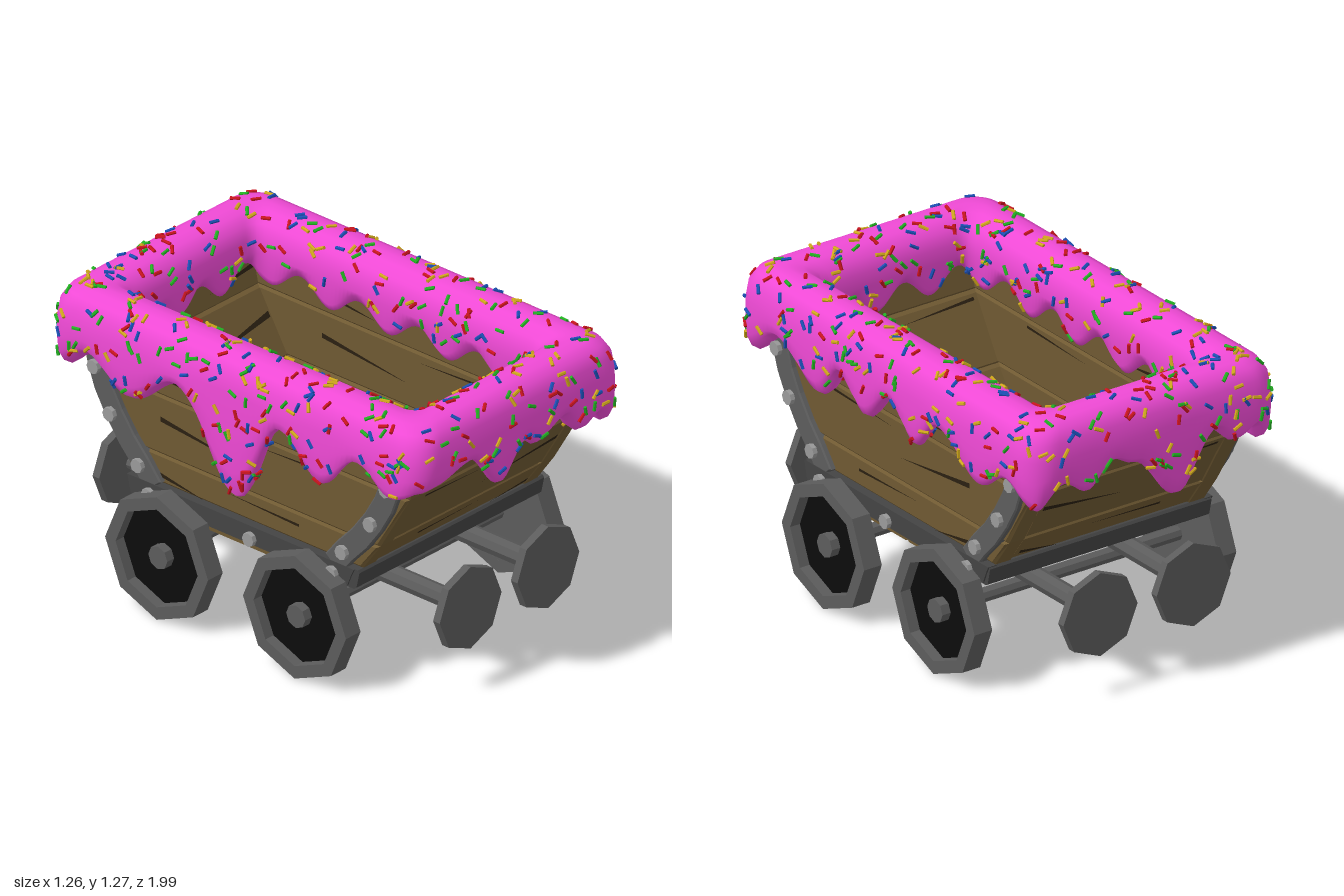
import * as THREE from 'three';
import { mergeGeometries } from 'three/addons/utils/BufferGeometryUtils.js';

const mat = (color, flatShading = true, side = THREE.FrontSide) =>
  new THREE.MeshStandardMaterial({ color, flatShading, side, roughness: 0.9 });
const M = {
  wood: mat(0x6f5932), crack: mat(0x2a2012, true, THREE.DoubleSide), iron: mat(0x5c5c5c),
  dark: mat(0x444444), black: mat(0x0c0c0c), bolt: mat(0x9a9a9a),
  icing: mat(0xf04ad6, false, THREE.DoubleSide),
};
const SPRINKLES = { red: 0xc8141e, blue: 0x1a4fb4, green: 0x22b022, yellow: 0xd0a81c };

let seed = 7;
const rand = () => (seed = (seed * 16807) % 2147483647) / 2147483647;

function add(parent, name, geometry, material) {
  const mesh = new THREE.Mesh(geometry, material);
  mesh.name = name;
  parent.add(mesh);
  return mesh;
}

// Side outline given as [z, y] points, extruded along x from x0 to x1
function extrudeX(points, x0, x1, bevel = 0, hole) {
  const shape = new THREE.Shape(points.map(p => new THREE.Vector2(...p)));
  if (hole) shape.holes.push(new THREE.Path(hole.map(p => new THREE.Vector2(...p))));
  return new THREE.ExtrudeGeometry(shape, {
    depth: x1 - x0 - 2 * bevel, bevelEnabled: bevel > 0, bevelSize: bevel,
    bevelThickness: bevel, bevelOffset: -bevel, bevelSegments: 1,
  }).rotateY(-Math.PI / 2).translate(x1 - bevel, 0, 0);
}

// Cut the corners of an outline
function chamfer(points, c) {
  return points.flatMap((p, i) => {
    const n = points.length;
    return [points[(i + n - 1) % n], points[(i + 1) % n]].map(q => {
      const l = Math.hypot(q[0] - p[0], q[1] - p[1]);
      return [p[0] + (q[0] - p[0]) * c / l, p[1] + (q[1] - p[1]) * c / l];
    });
  });
}

const octagon = (r, z, y) => Array.from({ length: 8 }, (_, i) =>
  [z + r * Math.sin(-i * Math.PI / 4), y + r * Math.cos(i * Math.PI / 4)]);

// Box half length at each plank seam
const SEAMS = [[0.43, 0.48], [0.525, 0.6], [0.65, 0.69], [0.91, 0.845], [1.1, 0.89]];
function halfLength(y) {
  const i = Math.max(1, SEAMS.findIndex(s => s[0] >= y));
  const [y0, w0] = SEAMS[i - 1], [y1, w1] = SEAMS[i];
  return w0 + (w1 - w0) * (y - y0) / (y1 - y0);
}

function buildBox() {
  const box = new THREE.Group();
  box.name = 'woodenBox';
  for (let i = 0; i < SEAMS.length - 1; i++) {
    const [y0, w0] = SEAMS[i], [y1, w1] = SEAMS[i + 1];
    for (const s of [-1, 1]) {
      const x = s * 0.467;
      add(box, 'sidePlank', extrudeX([[-w0, y0], [w0, y0], [w1, y1], [-w1, y1]], x - 0.048, x + 0.048, 0.012), M.wood);
      const end = [[w0 - 0.06, y0], [w0 - 0.004, y0], [w1 - 0.004, y1], [w1 - 0.06, y1]].map(([z, y]) => [s * z, y]);
      add(box, 'endPlank', extrudeX(chamfer(end, 0.011), -0.425, 0.425), M.wood);
    }
  }
  for (const [z0, z1] of [[-0.48, -0.41], [-0.41, -0.02], [-0.02, 0.375], [0.375, 0.48]])
    add(box, 'floorPlank', extrudeX(chamfer([[z0, 0.4], [z1, 0.4], [z1, 0.45], [z0, 0.45]], 0.01), -0.5, 0.5), M.wood);

  // Splits in the grain: [tip, tip height, open end, end height, thickness]
  const cracks = [[0, 0.757, 0.41, 0.81, 0.022], [0.2, 0.532, 0.41, 0.565, 0.018], [0.15, 0.97, 0.41, 1.0, 0.02],
    [-0.05, 0.87, -0.4, 0.885, 0.012], [0.1, 0.61, -0.25, 0.6, 0.012]];
  const tri = [];
  for (const [a, ya, b, yb, t] of cracks) for (const s of [-1, 1]) {
    const corners = [[a, ya], [b, yb + t / 2], [b, yb - t / 2]];
    for (const off of [0.002, -0.064])
      for (const [u, y] of corners) tri.push(u, y, s * (halfLength(y) + off));
    for (const x of [0.518, 0.416])
      for (const [u, y] of corners) tri.push(s * x, y, -u * 1.1);
  }
  const g = new THREE.BufferGeometry();
  g.setAttribute('position', new THREE.Float32BufferAttribute(tri, 3));
  g.computeVertexNormals();
  add(box, 'grainCracks', g, M.crack);
  return box;
}

function buildIronwork() {
  const iron = new THREE.Group();
  iron.name = 'ironwork';
  // Frame round the foot of the box
  for (const s of [-1, 1]) {
    add(iron, 'frameSide', extrudeX([[-0.57, 0.445], [0.55, 0.445], [0.57, 0.495], [0.585, 0.525], [-0.605, 0.525], [-0.59, 0.495]],
      s * 0.52 - 0.022, s * 0.52 + 0.022), M.dark);
    add(iron, 'frameEnd', extrudeX(chamfer([[s * 0.53, 0.437], [s * 0.59, 0.437], [s * 0.61, 0.525], [s * 0.53, 0.525]], 0.01),
      -0.535, 0.535), M.dark);
  }
  // Curved corner straps
  const path = [[0.47, 0.51], [0.535, 0.59], [0.61, 0.67], [0.68, 0.765], [0.735, 0.86], [0.768, 0.95], [0.785, 1.05]];
  const edge = k => path.map((p, i) => {
    const a = path[Math.max(0, i - 1)], b = path[Math.min(path.length - 1, i + 1)];
    const dz = b[0] - a[0], dy = b[1] - a[1], l = Math.hypot(dz, dy);
    return [p[0] + k * dy / l, p[1] - k * dz / l];
  });
  const strap = [...edge(0.052), ...edge(-0.052).reverse()];
  const spots = [[0.05, 0.475]];
  for (const e of [-1, 1]) {
    spots.push([e * 0.765, 0.945], [e * 0.682, 0.765], [e * 0.535, 0.59], [e * 0.48, 0.48]);
    for (const s of [-1, 1])
      add(iron, 'cornerStrap', extrudeX(strap.map(([z, y]) => [e * z, y]), s * 0.518 - 0.022, s * 0.518 + 0.022, 0.006), M.iron);
  }
  // Bolts
  for (const s of [-1, 1]) for (const [z, y] of spots) {
    add(iron, 'boltShank', new THREE.CylinderGeometry(0.018, 0.018, 0.06, 8).rotateZ(Math.PI / 2).translate(s * 0.53, y, z), M.bolt);
    add(iron, 'boltHead', new THREE.CylinderGeometry(0.03, 0.03, 0.02, 8).rotateZ(Math.PI / 2).translate(s * 0.557, y, z), M.bolt);
  }
  return iron;
}

function buildRunningGear() {
  const gear = new THREE.Group();
  gear.name = 'runningGear';
  for (const z of [0.355, -0.368]) {
    add(gear, 'axle', extrudeX(octagon(0.03, z, 0.272), -0.56, 0.56), M.iron);
    for (const s of [-1, 1]) {
      const disc = (name, r, a, b, m, hole) => add(gear, name,
        extrudeX(octagon(r, z, 0.27), Math.min(s * a, s * b), Math.max(s * a, s * b), 0, hole), m);
      disc('wheelRim', 0.27, 0.547, 0.632, M.iron, octagon(0.215, z, 0.27));
      disc('wheelBack', 0.225, 0.548, 0.57, M.iron);
      disc('wheelFace', 0.22, 0.57, 0.585, M.black);
      disc('wheelHub', 0.05, 0.58, 0.625, M.iron);
    }
  }
  // Long rods with a buffer plate at each end
  const bar = (r, len, x, z) => new THREE.CylinderGeometry(r, r, len, 8).rotateX(Math.PI / 2).translate(x, 0.35, z);
  for (const x of [-0.225, 0.225]) {
    add(gear, 'bufferRod', bar(0.042, 1.67, x, 0), M.iron);
    add(gear, 'bufferPin', bar(0.024, 1.77, x, 0), M.iron);
    for (const s of [-1, 1]) add(gear, 'bufferPlate', bar(0.179, 0.035, x, s * 0.893), M.iron);
  }
  return gear;
}

// Drip edge heights along each side, [fraction, y]: +x, -z, -x, +z
const DRIPS = [
  [[0, 0.88], [0.13, 1.01], [0.26, 0.87], [0.34, 1.02], [0.42, 0.89], [0.51, 1.03], [0.59, 0.89], [0.67, 1.03], [0.81, 0.88], [0.9, 0.97], [1, 0.88]],
  [[0, 0.88], [0.12, 0.98], [0.22, 0.92], [0.33, 1.02], [0.42, 0.98], [0.6, 0.79], [0.75, 1.02], [0.85, 0.94], [0.93, 0.98], [1, 0.9]],
  [[0, 0.9], [0.1, 1], [0.2, 0.88], [0.34, 1.03], [0.5, 0.645], [0.62, 1.02], [0.73, 0.86], [0.83, 1.02], [0.92, 0.92], [1, 0.97]],
  [[0, 0.97], [0.1, 0.99], [0.25, 1.035], [0.41, 0.865], [0.53, 1], [0.59, 0.955], [0.72, 1.02], [0.82, 0.915], [0.9, 0.95], [1, 0.88]],
];
function dripHeight(side, t) {
  const k = DRIPS[side], i = Math.max(1, k.findIndex(p => p[0] >= t));
  const f = (t - k[i - 1][0]) / (k[i][0] - k[i - 1][0]);
  return k[i - 1][1] + (k[i][1] - k[i - 1][1]) * (1 - Math.cos(Math.PI * f)) / 2;
}

// Icing: a rounded section swept round the rim, its skirt following the drips
function icingGeometry() {
  const pos = [], index = [], counts = [72, 48, 72, 48];
  let rows = 0, n = 0;
  counts.forEach((count, side) => {
    for (let i = 0; i < count; i++, rows++) {
      const t = i / count, u = 1 - 2 * t, b = dripHeight(side, t);
      const inner = 1.0 + 0.045 * Math.sin(t * Math.PI * (side % 2 ? 6 : 10));
      const section = [[-0.055, inner + 0.02], [-0.085, inner], [-0.108, inner + 0.035], [-0.117, 1.1], [-0.115, 1.16],
        [-0.095, 1.215], [-0.05, 1.247], [0, 1.254], [0.045, 1.25], [0.088, 1.228], [0.115, 1.18], [0.124, 1.11],
        [0.125, 1.11 + (b - 1.11) * 0.4], [0.12, 1.11 + (b - 1.11) * 0.75], [0.105, b + 0.015], [0.08, b], [0.052, b + 0.02], [0.035, 1.06]];
      n = section.length;
      for (const [d, y] of section) {
        const hx = 0.477 + d, hz = 0.858 + d, r = 0.085 + 0.25 * d;
        const [x, z] = [[hx, u * hz], [u * hx, -hz], [-hx, -u * hz], [-u * hx, hz]][side];
        const cx = THREE.MathUtils.clamp(x, r - hx, hx - r), cz = THREE.MathUtils.clamp(z, r - hz, hz - r);
        const l = Math.hypot(x - cx, z - cz);
        pos.push(cx + (x - cx) * r / l, y, cz + (z - cz) * r / l);
      }
    }
  });
  for (let i = 0; i < rows; i++) for (let j = 0; j < n - 1; j++) {
    const a = i * n + j, b = ((i + 1) % rows) * n + j;
    index.push(a, a + 1, b, b, a + 1, b + 1);
  }
  const g = new THREE.BufferGeometry();
  g.setAttribute('position', new THREE.Float32BufferAttribute(pos, 3));
  g.setIndex(index);
  g.computeVertexNormals();
  return g;
}

// Sprinkles lie flat on the icing, spread evenly by area
function buildSprinkles(icing, count) {
  const group = new THREE.Group(), p = icing.attributes.position, idx = icing.index, faces = [];
  group.name = 'sprinkles';
  let total = 0;
  for (let i = 0; i < idx.count; i += 3) {
    const t = new THREE.Triangle(...[0, 1, 2].map(k => new THREE.Vector3().fromBufferAttribute(p, idx.getX(i + k))));
    const normal = t.getNormal(new THREE.Vector3());
    if (normal.y < -0.5) continue;
    faces.push({ t, normal, sum: total += t.getArea() });
  }
  const names = Object.keys(SPRINKLES), sets = names.map(() => []), up = new THREE.Vector3(0, 1, 0);
  for (let i = 0; i < count; i++) {
    const pick = rand() * total, { t, normal } = faces.find(f => f.sum >= pick);
    const w = rand(), v = rand() * (1 - w);
    const at = t.a.clone().multiplyScalar(1 - w - v).addScaledVector(t.b, w).addScaledVector(t.c, v).addScaledVector(normal, 0.003);
    const dir = t.b.clone().sub(t.a).normalize().applyAxisAngle(normal, rand() * Math.PI);
    sets[i % 4].push(new THREE.CylinderGeometry(0.0075, 0.0075, 0.04, 6)
      .applyQuaternion(new THREE.Quaternion().setFromUnitVectors(up, dir)).translate(at.x, at.y, at.z));
  }
  names.forEach((c, i) => add(group, c + 'Sprinkles', mergeGeometries(sets[i]), mat(SPRINKLES[c])));
  return group;
}

export function createModel() {
  const cart = new THREE.Group();
  cart.name = 'icedCart';
  const icing = icingGeometry();
  cart.add(buildBox(), buildIronwork(), buildRunningGear(), buildSprinkles(icing, 800));
  add(cart, 'icing', icing, M.icing);
  return cart;
}
